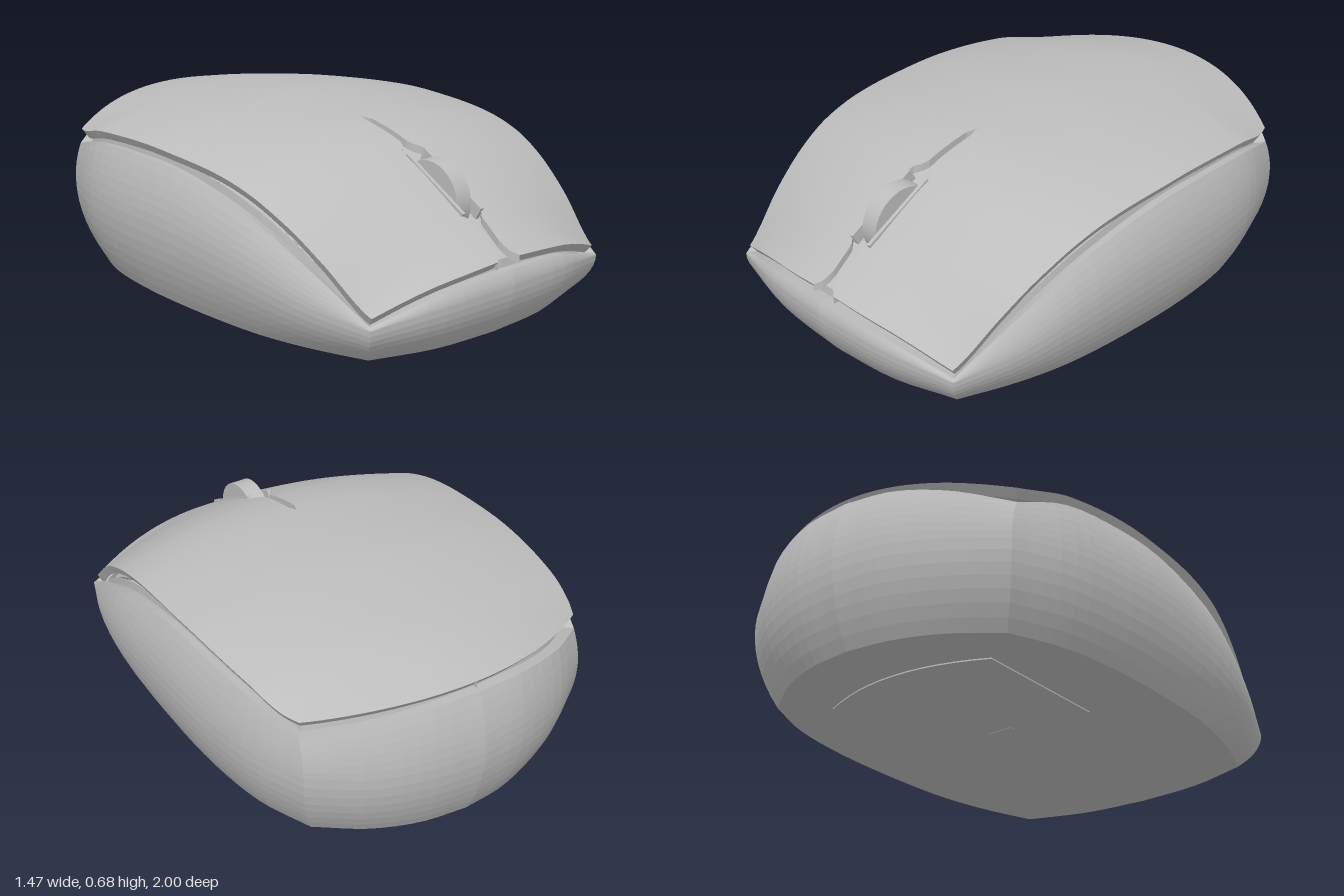
import * as THREE from 'three';

const grey = new THREE.MeshStandardMaterial({ color: 0xbdbdbd, side: THREE.DoubleSide });
grey.name = 'grey plastic';

// Piecewise interpolation of [position, value] pairs, positions ascending
function table(pairs, smooth = true) {
  return (p) => {
    const n = pairs.length;
    let i = 0;
    while (i < n - 2 && p > pairs[i + 1][0]) i++;
    const [x0, a] = pairs[i], [x1, b] = pairs[i + 1];
    const t = THREE.MathUtils.clamp((p - x0) / (x1 - x0), 0, 1);
    if (!smooth) return a + (b - a) * t;
    const slope = (k) => {
      const l = pairs[Math.max(k - 1, 0)], r = pairs[Math.min(k + 1, n - 1)];
      return (r[1] - l[1]) / (r[0] - l[0]) * (x1 - x0);
    };
    const t2 = t * t, t3 = t2 * t;
    return (2 * t3 - 3 * t2 + 1) * a + (t3 - 2 * t2 + t) * slope(i)
      + (3 * t2 - 2 * t3) * b + (t3 - t2) * slope(i + 1);
  };
}

// Faceted skin over rows of points
function skin(rows, name, closed = false) {
  const pos = [];
  for (let j = 0; j < rows.length - 1; j++) {
    const a = rows[j], b = rows[j + 1], n = a.length;
    for (let i = 0; i < (closed ? n : n - 1); i++) {
      const k = (i + 1) % n;
      for (const p of [a[i], a[k], b[k], a[i], b[k], b[i]]) pos.push(p.x, p.y, p.z);
    }
  }
  const g = new THREE.BufferGeometry();
  g.setAttribute('position', new THREE.Float32BufferAttribute(pos, 3));
  g.computeVertexNormals();
  const m = new THREE.Mesh(g, grey);
  m.name = name;
  return m;
}

// Closed outline from three half-curves: front, side and back, mirrored in x
function outline(parts) {
  const half = [];
  [8, 22, 10].forEach((n, s) => {
    const c = new THREE.CatmullRomCurve3(parts[s].map((p) => new THREE.Vector3(...p)), false, 'centripetal');
    for (let i = 0; i < n; i++) half.push(c.getPoint(i / n));
    if (s === 2) half.push(c.getPoint(1));
  });
  const other = half.slice(1, -1).reverse().map((p) => new THREE.Vector3(-p.x, p.y, p.z));
  return [...half, ...other];
}

const widest = outline([
  [[0, 0.2, 0.995], [0.3, 0.19, 0.97], [0.575, 0.15, 0.885]],
  [[0.575, 0.15, 0.885], [0.66, 0.2, 0.65], [0.715, 0.27, 0.4], [0.735, 0.32, 0],
    [0.722, 0.32, -0.3], [0.68, 0.32, -0.55], [0.59, 0.31, -0.77]],
  [[0.59, 0.31, -0.77], [0.4, 0.31, -0.9], [0.2, 0.32, -0.975], [0, 0.32, -1]],
]);
const rim = outline([
  [[0, 0.255, 0.98], [0.3, 0.235, 0.955], [0.565, 0.16, 0.875]],
  [[0.565, 0.16, 0.875], [0.625, 0.31, 0.65], [0.67, 0.44, 0.4], [0.685, 0.53, 0],
    [0.675, 0.535, -0.3], [0.645, 0.515, -0.55], [0.585, 0.46, -0.735]],
  [[0.585, 0.46, -0.735], [0.4, 0.51, -0.86], [0.2, 0.545, -0.93], [0, 0.555, -0.95]],
]);

function bodyShell() {
  const rings = [widest.map(() => new THREE.Vector3(0, 0.006, 0))];
  const base = widest.map((p) => new THREE.Vector3(p.x * 0.88, 0.006, p.z * 0.91));
  for (let r = 0; r <= 7; r++) {
    const t = r / 7, out = 1 - (1 - t) ** 2;
    rings.push(base.map((b, i) => {
      const p = b.clone().lerp(widest[i], out);
      p.y = b.y + (widest[i].y - b.y) * t;
      return p;
    }));
  }
  for (let r = 1; r <= 6; r++) {
    const t = r / 6;
    rings.push(widest.map((w, i) => {
      const p = w.clone().lerp(rim[i], t * t);
      p.y = w.y + (rim[i].y - w.y) * t;
      return p;
    }));
  }
  // Groove ledge and its inner wall
  rings.push(rim.map((p) => new THREE.Vector3(p.x * 0.95, p.y - 0.005, p.z * 0.955)));
  rings.push(rim.map((p) => new THREE.Vector3(p.x * 0.945, p.y + 0.025, p.z * 0.95)));
  return skin(rings, 'bodyShell', true);
}

// Lid: crown height, crosswise drop, half width, and the half width of its centre slot
const crown = table([[-0.94, 0.583], [-0.7, 0.632], [-0.5, 0.656], [-0.2, 0.676], [0, 0.671], [0.25, 0.65],
  [0.4, 0.618], [0.5, 0.58], [0.6, 0.53], [0.8, 0.405], [0.97, 0.29]]);
const drop = table([[-0.93, 0.33], [-0.73, 0.32], [-0.5, 0.22], [0, 0.2], [0.25, 0.21], [0.5, 0.26],
  [0.7, 0.36], [0.86, 0.53], [0.97, 0.47]]);
const halfWidth = table([[-0.73, 0.58], [-0.66, 0.612], [-0.55, 0.638], [-0.3, 0.667], [0, 0.677],
  [0.4, 0.662], [0.65, 0.62], [0.875, 0.56]]);
const slot = table([[0.24, 0], [0.26, 0.014], [0.46, 0.014], [0.5, 0.055], [0.78, 0.055], [0.81, 0.028],
  [0.9, 0.018], [0.94, 0.025], [0.965, 0.055]], false);
const lidHeight = (x, z) => crown(z) - drop(z) * x * x;

function lidHalf(side, name, { shrink = 1, lower = 0, hasSlot = true, thick = 0.03 }) {
  const U = 18, V = 84, rows = [];
  for (let j = -1; j <= V + 1; j++) {
    const row = [];
    for (let i = -1; i <= U + 1; i++) {
      const u = THREE.MathUtils.clamp(i / U, 0, 1), v = THREE.MathUtils.clamp(j / V, 0, 1);
      let z = THREE.MathUtils.lerp(0.967 - 0.092 * u * u, -0.93 + 0.2 * u * u, v);
      const inner = hasSlot ? slot(z) : 0;
      let x = inner + (halfWidth(0.875 - 1.605 * v) - inner) * u;
      let y = lidHeight(x, z) - lower;
      // Turned-down edge
      const edge = i > U || j < 0 || j > V;
      if (edge || i < 0) y -= thick;
      const s = shrink * (edge ? 0.975 : 1);
      row.push(new THREE.Vector3(side * x * s, y, z * s));
    }
    rows.push(side > 0 ? row : row.reverse());
  }
  return skin(rows, name);
}

function box(name, w, h, d, x, y, z, tilt = 0) {
  const m = new THREE.Mesh(new THREE.BoxGeometry(w, h, d), grey);
  m.name = name;
  m.position.set(x, y, z);
  m.rotation.x = tilt;
  return m;
}

export function createModel() {
  const mouse = new THREE.Group();
  mouse.name = 'computerMouse';
  mouse.add(bodyShell());

  for (const [side, label] of [[1, 'left'], [-1, 'right']]) {
    mouse.add(lidHalf(side, label + 'Lid', {}));
    mouse.add(lidHalf(side, label + 'InnerDeck', { shrink: 0.95, lower: 0.045, hasSlot: false, thick: 0.01 }));
    // Cheeks beside the scroll wheel
    mouse.add(box(label + 'WheelCheek', 0.014, 0.05, 0.32, side * 0.046, 0.478, 0.645, 0.52));
  }

  // Scroll wheel
  const wheel = new THREE.Mesh(new THREE.CylinderGeometry(0.14, 0.14, 0.07, 36), grey);
  wheel.name = 'scrollWheel';
  wheel.rotation.z = Math.PI / 2;
  wheel.position.set(0, 0.43, 0.612);
  mouse.add(wheel);

  // Battery door on the underside, with a curved back edge
  const s = new THREE.Shape();
  s.moveTo(-0.36, 0);
  s.lineTo(0.36, 0);
  s.lineTo(0.36, -0.58);
  s.quadraticCurveTo(0, -0.76, -0.36, -0.58);
  s.closePath();
  const door = new THREE.Mesh(new THREE.ExtrudeGeometry(s, { depth: 0.008, bevelEnabled: false }), grey);
  door.name = 'batteryDoor';
  door.rotation.x = Math.PI / 2;
  door.position.y = 0.009;
  mouse.add(door);
  mouse.add(box('doorCatch', 0.1, 0.004, 0.02, 0, 0.002, -0.05));
  return mouse;
}
